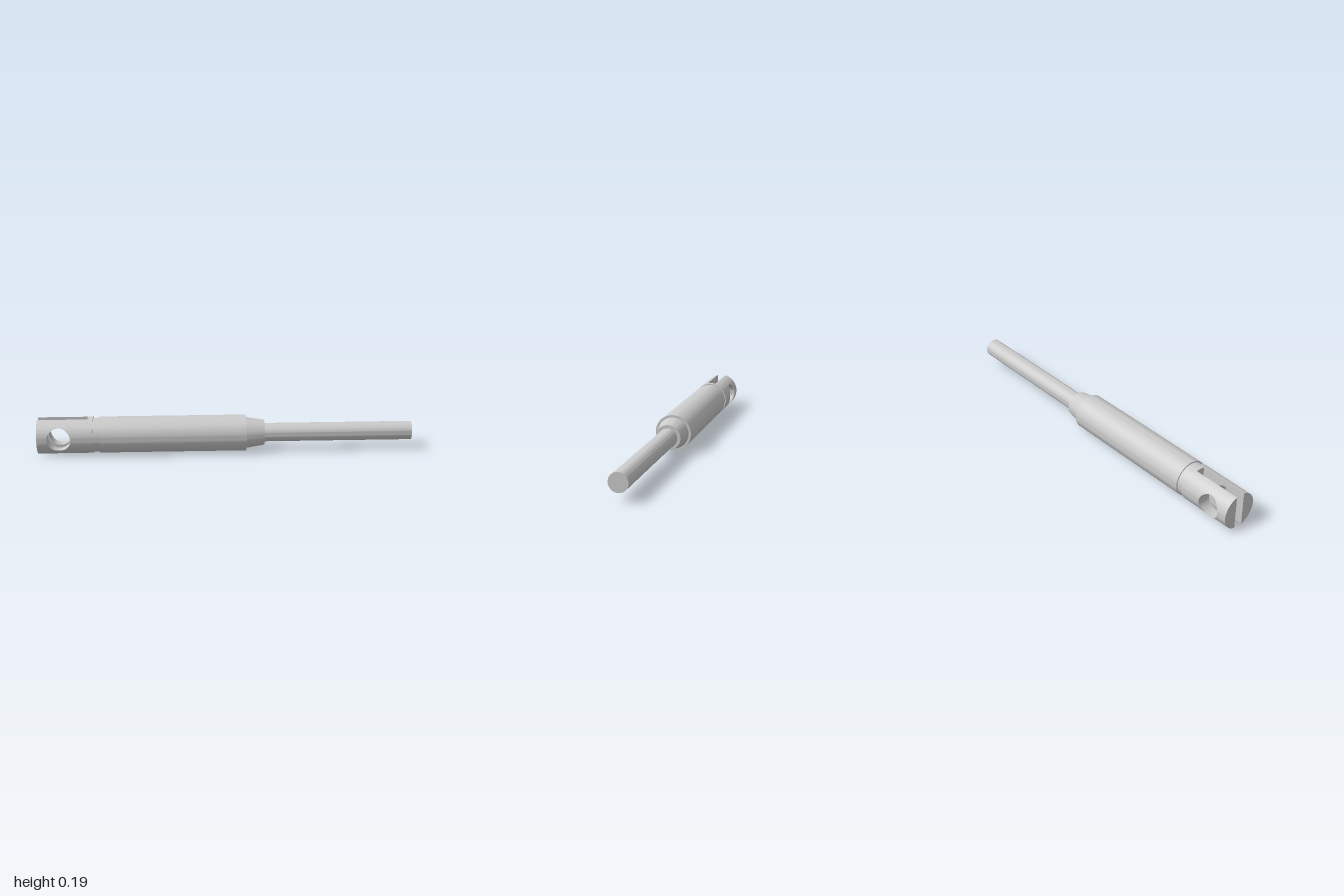
import * as THREE from 'three';
import { toCreasedNormals } from 'three/addons/utils/BufferGeometryUtils.js';

const R = 0.0965;                       // outer radius of the body
const SLOT = 0.024, SLOT_END = -0.735;  // half width and floor of the fork slot
const HOLE_X = -0.885, HOLE_R = 0.062;  // pin hole through the fork

const material = new THREE.MeshStandardMaterial({ color: 0xcccccc });

function addMesh(group, name, geometry) {
  const mesh = new THREE.Mesh(toCreasedNormals(geometry, 0.5), material);
  mesh.name = name;
  group.add(mesh);
  return mesh;
}

// Solid of revolution along x; profile is [x, radius] pairs
function turned(profile) {
  const points = profile.map(([x, r]) => new THREE.Vector2(r, x));
  return new THREE.LatheGeometry(points, 64).rotateZ(-Math.PI / 2);
}

// One fork prong: a cylinder segment with a round cross hole, built in y strips
function prongGeometry() {
  const h = Math.sqrt(R * R - SLOT * SLOT);
  const t0 = Math.asin(HOLE_R / R), t1 = Math.asin(h / R);
  const upper = [];
  for (let i = 1; i <= 8; i++) upper.push(R * Math.sin(t0 + (t1 - t0) * i / 8));
  const levels = upper.map(y => -y).reverse();
  for (let i = 0; i <= 24; i++) levels.push(HOLE_R * Math.sin(Math.PI * (i / 24 - 0.5)));
  levels.push(...upper);

  const outer = y => Math.sqrt(Math.max(R * R - y * y, SLOT * SLOT));
  const halfHole = y => Math.sqrt(Math.max(HOLE_R * HOLE_R - y * y, 0));
  const pos = [];
  const quad = (a, b, c, d) => pos.push(...a, ...b, ...c, ...a, ...c, ...d);

  for (let i = 0; i < levels.length - 1; i++) {
    const y0 = levels[i], y1 = levels[i + 1];
    const z0 = outer(y0), z1 = outer(y1);
    const w0 = halfHole(y0), w1 = halfHole(y1);
    // outer curved face and inner flat face on both sides of the hole
    const spans = [
      [-1, HOLE_X - w0, HOLE_X - w1, -1],
      [HOLE_X + w0, SLOT_END, SLOT_END, HOLE_X + w1],
    ];
    for (const [a, b, c, d] of spans) {
      quad([a, y0, z0], [b, y0, z0], [c, y1, z1], [d, y1, z1]);
      quad([d, y1, SLOT], [c, y1, SLOT], [b, y0, SLOT], [a, y0, SLOT]);
    }
    // end face
    quad([-1, y0, SLOT], [-1, y0, z0], [-1, y1, z1], [-1, y1, SLOT]);
    // hole wall
    if (w0 + w1 > 1e-6) {
      const r0 = HOLE_X + w0, r1 = HOLE_X + w1, l0 = HOLE_X - w0, l1 = HOLE_X - w1;
      quad([r0, y0, SLOT], [r0, y0, z0], [r1, y1, z1], [r1, y1, SLOT]);
      quad([l1, y1, SLOT], [l1, y1, z1], [l0, y0, z0], [l0, y0, SLOT]);
    }
  }
  const geometry = new THREE.BufferGeometry();
  geometry.setAttribute('position', new THREE.Float32BufferAttribute(pos, 3));
  return geometry;
}

export function createModel() {
  const group = new THREE.Group();
  group.name = 'forkedRod';

  // Slotted fork
  addMesh(group, 'frontProng', prongGeometry());
  addMesh(group, 'backProng', prongGeometry().rotateX(Math.PI));
  addMesh(group, 'forkBase', turned([[SLOT_END, 0], [SLOT_END, R], [-0.706, R], [-0.706, 0]]));

  // Groove, barrel, tapered collar and rod
  addMesh(group, 'groove', turned([[-0.706, 0.09], [-0.671, 0.09]]));
  addMesh(group, 'barrel', turned([[-0.671, 0], [-0.671, R], [0.107, R], [0.107, 0.0836]]));
  addMesh(group, 'taperedCollar', turned([[0.107, 0.0836], [0.206, 0.067], [0.206, 0.0495]]));
  addMesh(group, 'rod', turned([[0.206, 0.0495], [1, 0.0495], [1, 0]]));

  group.position.y = R;
  return group;
}
